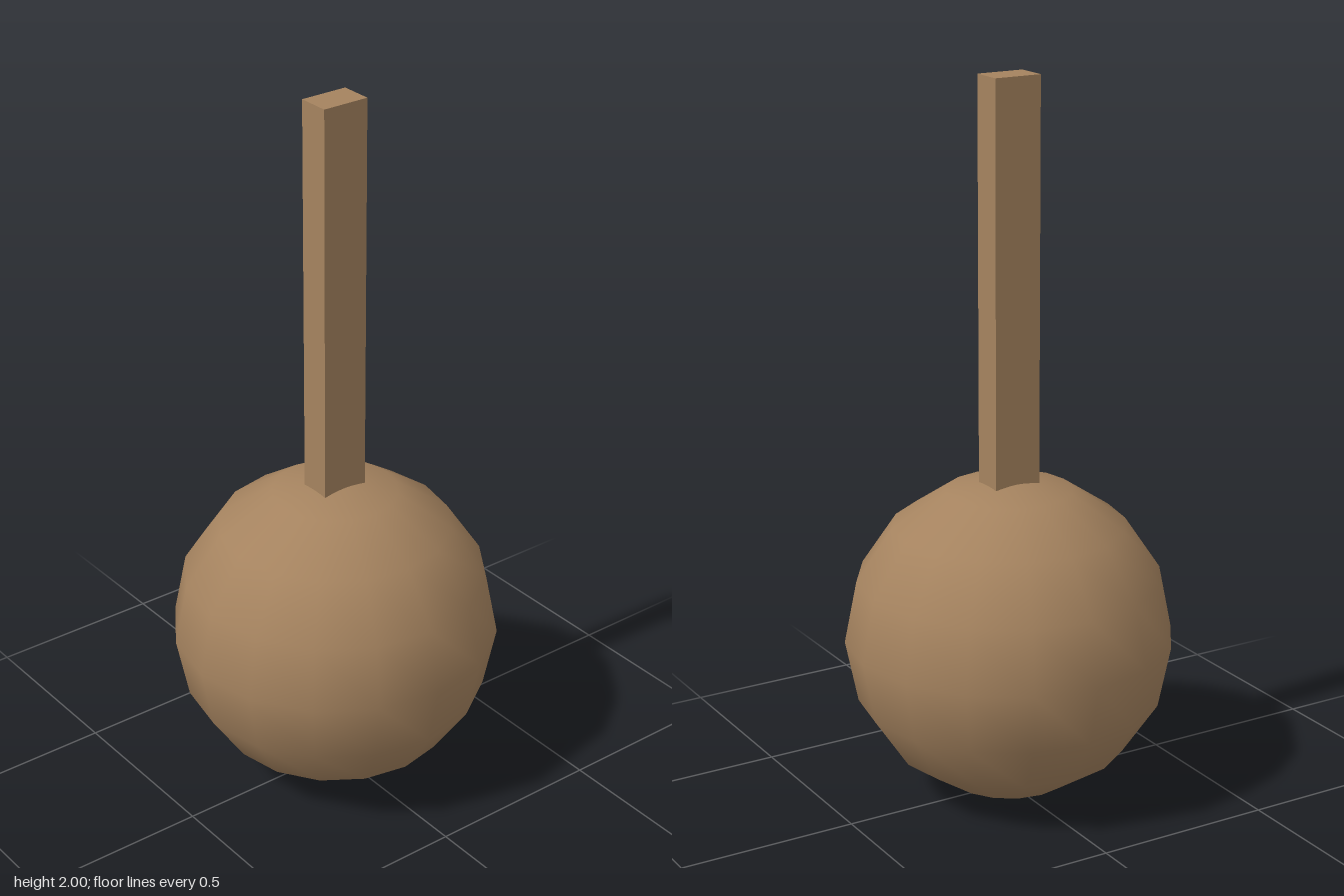
import * as THREE from 'three';

export function createModel() {
  const model = new THREE.Group();
  const wood = new THREE.MeshStandardMaterial({ color: 0xa5835f });
  const radius = 0.4545, top = 2, handleBase = 0.82;

  // Round head with a coarse outline and smooth shading
  const head = new THREE.Mesh(new THREE.SphereGeometry(radius, 16, 8), wood);
  head.name = 'head';
  head.position.y = radius;
  model.add(head);

  // Rectangular handle, sunk a little into the head
  const length = top - handleBase;
  const handle = new THREE.Mesh(new THREE.BoxGeometry(0.136, length, 0.091), wood);
  handle.name = 'handle';
  handle.position.y = handleBase + length / 2;
  model.add(handle);

  return model;
}
